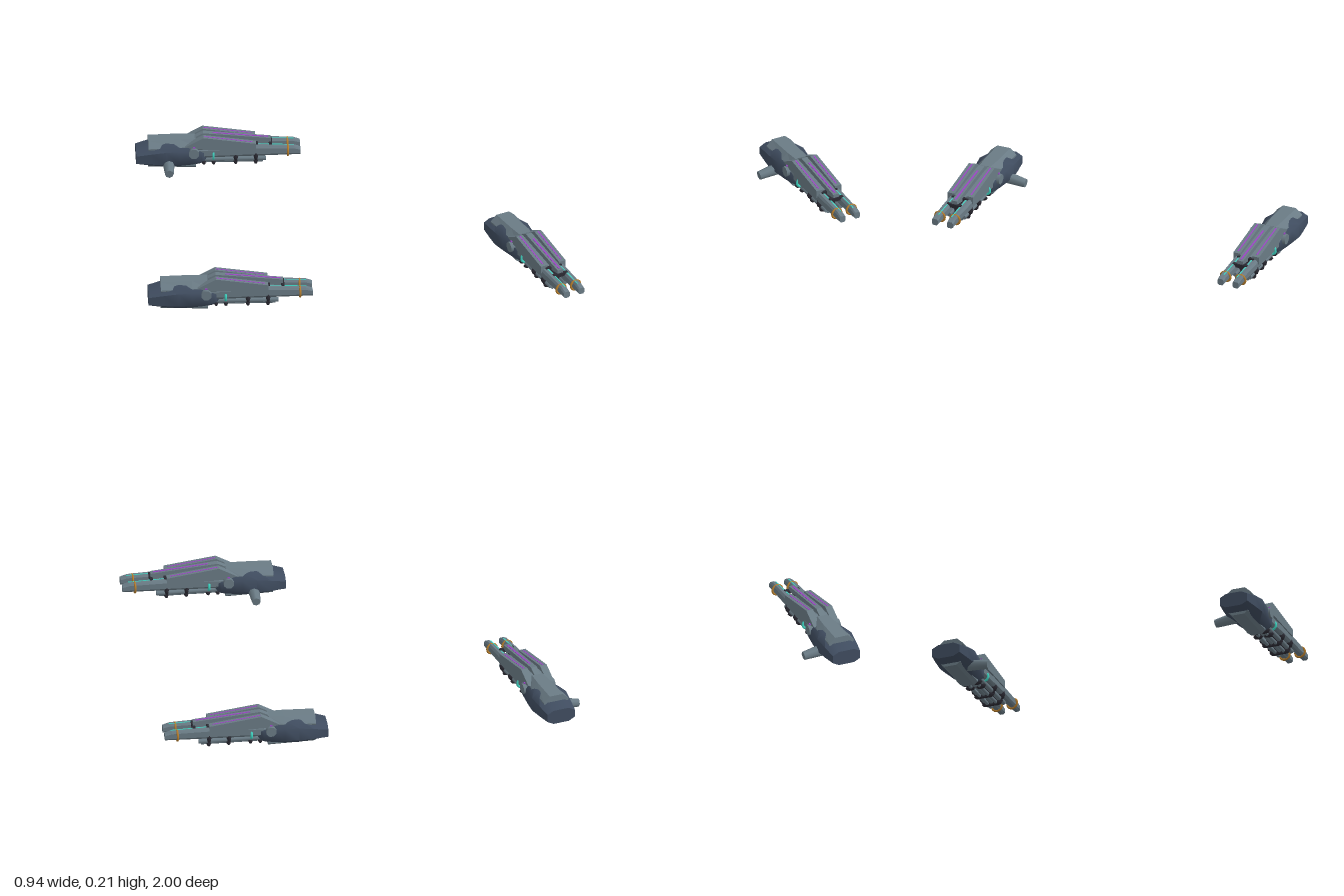
import * as THREE from 'three';
import { toCreasedNormals } from 'three/addons/utils/BufferGeometryUtils.js';

const mat = (name, color) => new THREE.MeshStandardMaterial({ name, color });

// Loft along x through chamfered rectangles: [x, yLow, yHigh, halfWidth]
function loft(sections, cy = 0.3, cz = 0.3) {
  const rings = sections.map(([x, lo, hi, w]) => {
    const a = (hi - lo) * cy, b = w * 2 * cz;
    return [[hi, -w + b], [hi, w - b], [hi - a, w], [lo + a, w],
      [lo, w - b], [lo, -w + b], [lo + a, -w], [hi - a, -w]].map(([y, z]) => [x, y, z]);
  });
  const pos = [];
  const tri = (a, b, c) => pos.push(...a, ...b, ...c);
  for (let s = 0; s < rings.length - 1; s++) {
    const A = rings[s], B = rings[s + 1];
    for (let i = 0; i < 8; i++) {
      const j = (i + 1) % 8;
      tri(A[i], A[j], B[j]);
      tri(A[i], B[j], B[i]);
    }
  }
  const first = rings[0], last = rings[rings.length - 1];
  for (let i = 1; i < 7; i++) {
    tri(first[0], first[i + 1], first[i]);
    tri(last[0], last[i], last[i + 1]);
  }
  const g = new THREE.BufferGeometry();
  g.setAttribute('position', new THREE.Float32BufferAttribute(pos, 3));
  g.computeVertexNormals();
  return g;
}

// Side profile in x,y given thickness across z
function plate(points, width) {
  const shape = new THREE.Shape(points.map(([x, y]) => new THREE.Vector2(x, y)));
  const g = new THREE.ExtrudeGeometry(shape, { depth: width, bevelEnabled: false });
  return g.translate(0, 0, -width / 2);
}

const tube = (r, x0, x1, sides = 8) =>
  new THREE.CylinderGeometry(r, r, x1 - x0, sides).rotateZ(-Math.PI / 2).translate((x0 + x1) / 2, 0, 0);
const hoop = (r, t) => new THREE.TorusGeometry(r, t, 6, 20).rotateY(Math.PI / 2);

export function createModel() {
  const hull = mat('dark slate hull', 0x3f4c5f);
  const grey = mat('steel grey', 0x6a7b85);
  const dark = mat('charcoal', 0x2b2a33);
  const purple = mat('purple glow', 0x9a45c4);
  const cyan = mat('cyan glow', 0x40d6c3);
  const gold = mat('gold', 0xb57d2c);

  function buildPod(side) {
    const pod = new THREE.Group();
    pod.name = side > 0 ? 'leftPod' : 'rightPod';
    const add = (name, geo, m, x = 0, y = 0, z = 0) => {
      const mesh = new THREE.Mesh(geo, m);
      mesh.name = name;
      mesh.position.set(x, y, z);
      pod.add(mesh);
      return mesh;
    };
    // thin strip lying on a sloped edge
    const strip = (name, m, [x0, y0], [x1, y1], z, w) => {
      const s = add(name, new THREE.BoxGeometry(Math.hypot(x1 - x0, y1 - y0), 0.004, w), m,
        (x0 + x1) / 2, (y0 + y1) / 2, z);
      s.rotation.z = Math.atan2(y1 - y0, x1 - x0);
    };

    // Smooth hull with armour above and below
    add('hull', toCreasedNormals(loft([
      [-0.47, 0.034, 0.118, 0.085], [-0.385, 0.025, 0.143, 0.097], [-0.3, 0.019, 0.164, 0.107],
      [-0.22, 0.018, 0.16, 0.096], [-0.15, 0.021, 0.151, 0.085], [-0.1, 0.03, 0.139, 0.079],
      [-0.078, 0.042, 0.128, 0.073], [-0.067, 0.06, 0.113, 0.06],
    ], 0.23, 0.22), 0.95), hull);
    add('topCover', loft([
      [-0.4, 0.1, 0.175, 0.078], [-0.22, 0.1, 0.181, 0.074], [-0.13, 0.1, 0.183, 0.062],
    ], 0.45, 0.24), grey);
    add('bellyPlate', loft([[-0.4, 0.01, 0.06, 0.06], [-0.128, 0, 0.05, 0.055]], 0.35, 0.2), grey);
    add('casing', loft([
      [-0.19, 0.125, 0.152, 0.064], [-0.1, 0.128, 0.18, 0.078], [0.21, 0.121, 0.15, 0.074],
    ], 0.1, 0.05), grey);

    // Central rail
    add('centreRail', plate([[-0.19, 0.155], [-0.085, 0.207], [0.302, 0.169], [0.302, 0.146],
      [0.2, 0.13], [-0.15, 0.13]], 0.036), grey);
    strip('centreGlow', purple, [-0.03, 0.2016], [0.287, 0.1705], 0, 0.01);
    add('crossBrace', new THREE.BoxGeometry(0.018, 0.022, 0.088), dark, 0.3, 0.137, 0);
    add('innerBrace', new THREE.BoxGeometry(0.02, 0.05, 0.1), dark, 0.217, 0.127, 0);
    add('coreTube', tube(0.025, -0.1, 0.24), dark, 0, 0.1, 0);

    for (const s of [-1, 1]) {
      // Outer rails
      add('outerRail', plate([[-0.19, 0.15], [-0.085, 0.207], [0.215, 0.165], [0.215, 0.121],
        [-0.13, 0.135]], 0.042), grey, 0, 0, s * 0.059);
      strip('outerGlow', purple, [-0.08, 0.2054], [0.195, 0.1669], s * 0.058, 0.008);

      // Main barrels
      add('barrel', loft([[-0.12, 0.074, 0.135, 0.027], [0.215, 0.081, 0.145, 0.026],
        [0.43, 0.084, 0.137, 0.02], [0.47, 0.085, 0.124, 0.019]], 0.22, 0.2), grey, 0, 0, s * 0.047);
      strip('barrelGlow', cyan, [0.225, 0.144], [0.435, 0.1365], s * 0.04, 0.006);
      add('barrelRing', hoop(0.03, 0.0065), gold, 0.398, 0.106, s * 0.047);
      add('glowRing', hoop(0.026, 0.0075), cyan, -0.028, 0.089, s * 0.051);

      // Slim lower tubes with clamps
      add('upperFeedTube', tube(0.014, -0.1, 0.274), grey, 0, 0.058, s * 0.046);
      add('lowerFeedTube', tube(0.01, -0.1, 0.258), grey, 0, 0.036, s * 0.026);
      for (const [x, h] of [[0.1, 0.026], [0.215, 0.032]]) {
        const clamp = add('upperClamp', new THREE.SphereGeometry(1, 8, 4), dark, x, 0.049 + h, s * 0.055);
        clamp.scale.set(0.014, h, 0.026);
      }
      for (const x of [-0.082, -0.026, 0.1, 0.215]) {
        const clamp = add('lowerClamp', new THREE.SphereGeometry(1, 8, 4), dark, x, 0.038, s * 0.032);
        clamp.scale.set(0.014, 0.019, 0.032);
      }

      // Side pivot
      add('pivot', new THREE.CylinderGeometry(0.031, 0.031, 0.03, 8).rotateX(Math.PI / 2)
        .rotateZ(Math.PI / 8), grey, -0.14, 0.113, s * 0.083);
      add('pivotLight', new THREE.BoxGeometry(0.014, 0.006, 0.01), purple, -0.14, 0.148, s * 0.082);
    }
    add('centreFeedTube', tube(0.013, -0.1, 0.258), grey, 0, 0.045, 0);
    for (const x of [0.1, 0.215]) {
      add('bundleBand', loft([[x - 0.008, 0.024, 0.075, 0.062], [x + 0.008, 0.024, 0.075, 0.062]],
        0.4, 0.2), dark);
    }

    // Mounting stub pointing inward and slightly down
    const stub = add('mountStub', new THREE.CylinderGeometry(0.025, 0.036, 0.13, 8), grey,
      -0.285, 0.043, -side * 0.123);
    stub.rotation.x = -side * (Math.PI / 2 + 0.13);

    pod.position.z = side * 0.893;
    return pod;
  }

  const model = new THREE.Group();
  model.name = 'twinGunPods';
  model.add(buildPod(1), buildPod(-1));
  return model;
}
